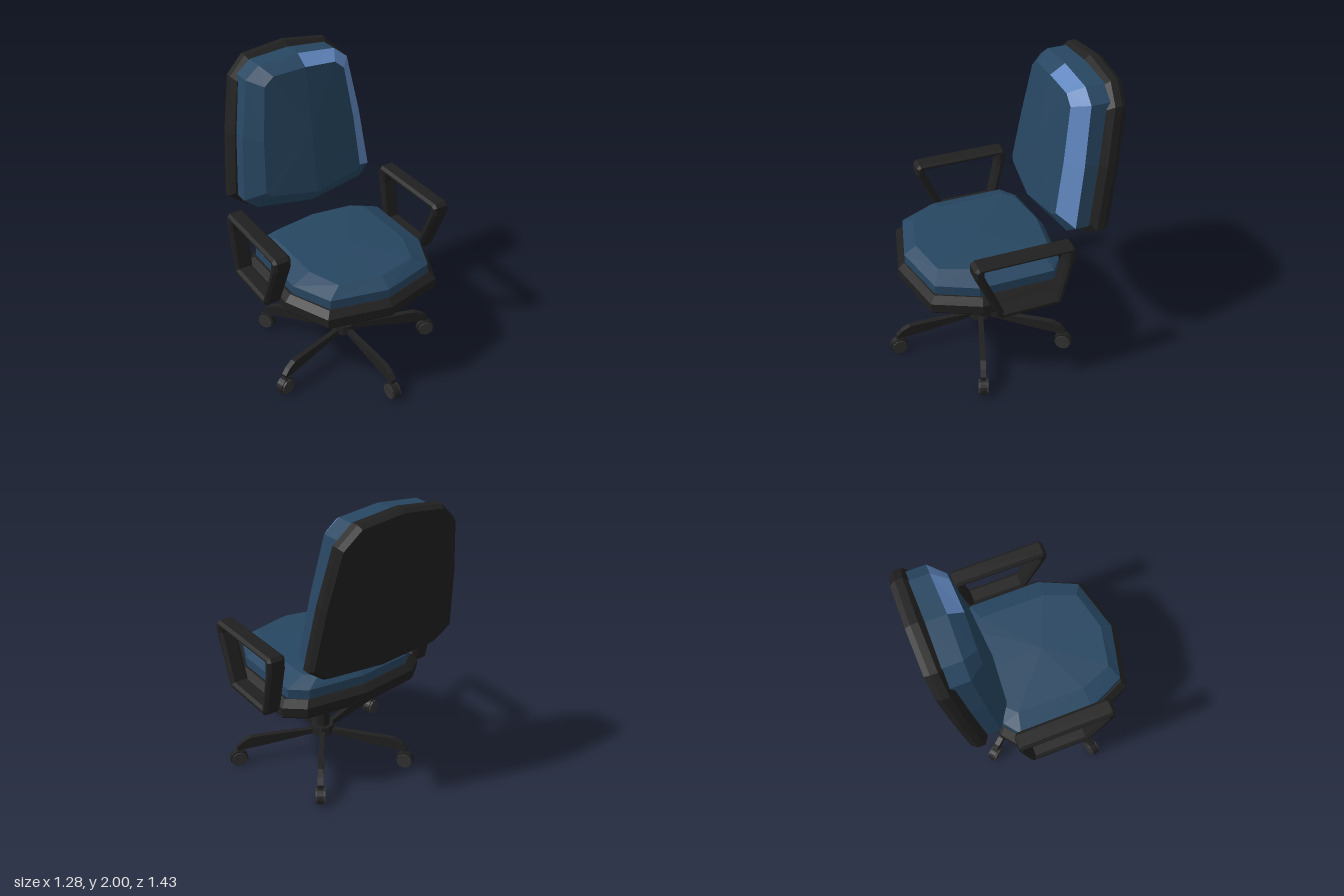
import * as THREE from 'three';

const mat = (name, color) => {
  const m = new THREE.MeshStandardMaterial({ color });
  m.name = name;
  return m;
};

// Faceted normals for low-poly parts
function facet(geo) {
  const g = geo.index ? geo.toNonIndexed() : geo;
  g.computeVertexNormals();
  return g;
}

function add(parent, name, geo, material) {
  const m = new THREE.Mesh(facet(geo), material);
  m.name = name;
  parent.add(m);
  return m;
}

// Half outline (x >= 0, first and last points on x = 0) to a full loop
const mirror = (half) => [...half, ...half.slice(1, -1).reverse().map(([x, v]) => [-x, v])];

// Skin over rings of Vector3, closed by fans to the two end points.
// pick(ring, segment) returns a material index for each side facet.
function loft(rings, start, end, pick = () => 0) {
  const buckets = [[], []];
  const n = rings[0].length;
  for (let i = 0; i < n; i++) {
    const j = (i + 1) % n, last = rings[rings.length - 1];
    buckets[0].push([start, rings[0][j], rings[0][i]], [end, last[i], last[j]]);
    for (let r = 0; r < rings.length - 1; r++) {
      const a = rings[r][i], b = rings[r][j], c = rings[r + 1][j], d = rings[r + 1][i];
      buckets[pick(r, i)].push([a, b, c], [a, c, d]);
    }
  }
  // Turn the skin outwards if its signed volume is negative
  let volume = 0;
  const cross = new THREE.Vector3();
  buckets.flat().forEach(([a, b, c]) => { volume += a.dot(cross.crossVectors(b, c)); });
  const geo = new THREE.BufferGeometry();
  const points = [];
  buckets.forEach((tris, k) => {
    if (tris.length) geo.addGroup(points.length, tris.length * 3, k);
    tris.forEach(([a, b, c]) => points.push(a, ...(volume < 0 ? [c, b] : [b, c])));
  });
  return geo.setFromPoints(points);
}

export function createModel() {
  const black = mat('black plastic', 0x202020);
  const grey = mat('wheel grey', 0x323232);
  const blue = mat('blue fabric', 0x274661);
  const sheen = mat('light blue fabric', 0x5f85bd);

  const chair = new THREE.Group();
  chair.name = 'officeChair';
  const V = (x, y, z) => new THREE.Vector3(x, y, z);

  // Seat: horizontal outlines stacked in y
  const flat = (half, y, s = 1) => mirror(half).map(([x, z]) => V(x * s, y, 0.1 + (z - 0.1) * s));
  const trayLine = [[0, 0.625], [0.4, 0.53], [0.53, 0.24], [0.53, -0.27], [0.41, -0.365], [0, -0.42]];
  add(chair, 'seatTray', loft(
    [flat(trayLine, 0.635, 0.98), flat(trayLine, 0.65), flat(trayLine, 0.71), flat(trayLine, 0.75, 0.925)],
    V(0, 0.635, 0.1), V(0, 0.75, 0.1)), black);

  const seatLine = [[0, 0.58], [0.36, 0.49], [0.475, 0.24], [0.475, -0.25], [0.37, -0.33], [0, -0.375]];
  const seatTop = [[0, 0.5], [0.27, 0.44], [0.35, 0.23], [0.35, -0.22], [0.28, -0.29], [0, -0.33]];
  add(chair, 'seatCushion', loft(
    [flat(seatLine, 0.74), flat(seatLine, 0.812), flat(seatTop, 0.865)],
    V(0, 0.74, 0.1), V(0, 0.882, 0.08)), blue);

  // Backrest: upright outlines stacked in depth, leaning backwards
  const lean = (x, y, d, bulge = 0) => V(x, y, d - 0.15 * (y - 1) - bulge * x * x);
  const upright = (half, d, s = 1, bulge = 0) =>
    mirror(half).map(([x, y]) => lean(x * s, 1.48 + (y - 1.48) * s, d, bulge));
  const shellLine = [[0, 2], [0.29, 1.965], [0.405, 1.855], [0.475, 1.5], [0.525, 1.09], [0.41, 1.0], [0, 0.96]];
  add(chair, 'backShell', loft(
    [upright(shellLine, -0.45, 0.93), upright(shellLine, -0.485), upright(shellLine, -0.53), upright(shellLine, -0.565, 0.96)],
    lean(0, 1.48, -0.45), lean(0, 1.48, -0.567)), black);

  const padLine = [[0, 1.97], [0.27, 1.945], [0.365, 1.87], [0.43, 1.5], [0.475, 1.1], [0.39, 1.035], [0, 0.985]];
  const padFront = [[0, 1.91], [0.22, 1.895], [0.285, 1.84], [0.33, 1.5], [0.355, 1.16], [0.32, 1.13], [0, 1.08]];
  // The bevel along the top and one side carries the lighter fabric
  add(chair, 'backCushion', loft(
    [upright(padFront, -0.245, 1, 0.2), upright(padLine, -0.33, 1, 0.15), upright(padLine, -0.47)],
    lean(0, 1.5, -0.238), lean(0, 1.5, -0.47),
    (r, i) => (r === 0 && i < 4 ? 1 : 0)), [blue, sheen]);

  // Armrests: closed loops with bevelled edges
  const loop = new THREE.Shape([[0.325, 1.075], [0.3, 1.097], [-0.295, 1.097], [-0.315, 1.075], [-0.315, 1.0],
    [-0.245, 0.69], [-0.225, 0.67], [0.155, 0.67], [0.18, 0.69], [0.325, 1.02]].map((p) => new THREE.Vector2(...p)));
  loop.holes.push(new THREE.Path([[0.265, 1.055], [0.265, 1.02], [0.14, 0.722], [-0.205, 0.722],
    [-0.258, 0.98], [-0.258, 1.055]].map((p) => new THREE.Vector2(...p))));
  for (const side of [1, -1]) {
    const arm = new THREE.ExtrudeGeometry(loop, {
      depth: 0.08, bevelEnabled: true, bevelThickness: 0.018, bevelSize: 0.016, bevelOffset: -0.016, bevelSegments: 1,
    });
    arm.translate(0, 0, -0.04).rotateY(-Math.PI / 2).translate(side * 0.58, 0, 0);
    add(chair, side > 0 ? 'leftArmrest' : 'rightArmrest', arm, black);
  }

  // Column and five-legged base
  const base = new THREE.Group();
  base.name = 'swivelBase';
  base.position.z = 0.07;
  chair.add(base);
  add(base, 'column', new THREE.CylinderGeometry(0.05, 0.05, 0.46, 8).rotateY(Math.PI / 8), black).position.y = 0.42;
  add(base, 'hub', new THREE.CylinderGeometry(0.075, 0.085, 0.06, 10), black).position.y = 0.188;

  const legSide = new THREE.Shape([[0.04, 0.16], [0.4, 0.132], [0.6, 0.122], [0.6, 0.145], [0.565, 0.18],
    [0.51, 0.206], [0.44, 0.207], [0.04, 0.19]].map((p) => new THREE.Vector2(...p)));
  for (let i = 0; i < 5; i++) {
    const leg = new THREE.Group();
    leg.name = 'leg' + (i + 1);
    leg.rotation.y = (i * Math.PI * 2) / 5;
    base.add(leg);
    const bar = new THREE.ExtrudeGeometry(legSide, { depth: 0.036, bevelEnabled: false });
    add(leg, 'legBar', bar.translate(0, 0, -0.018).rotateY(-Math.PI / 2), black);
    add(leg, 'casterStem', new THREE.CylinderGeometry(0.011, 0.011, 0.06, 6), black).position.set(0, 0.112, 0.588);
    // Caster: wheel pair with a half cover over the middle
    for (const s of [1, -1]) {
      add(leg, 'casterWheel', new THREE.CylinderGeometry(0.052, 0.052, 0.02, 10).rotateZ(Math.PI / 2), grey)
        .position.set(s * 0.022, 0.053, 0.59);
    }
    const hood = new THREE.Shape();
    hood.absarc(0, 0, 0.06, -0.3, Math.PI + 0.3, false);
    const cover = new THREE.ExtrudeGeometry(hood, { depth: 0.04, bevelEnabled: false, curveSegments: 6 });
    add(leg, 'casterCover', cover.translate(0, 0, -0.02).rotateY(-Math.PI / 2), black).position.set(0, 0.053, 0.59);
    add(leg, 'casterCore', new THREE.CylinderGeometry(0.053, 0.053, 0.026, 10).rotateZ(Math.PI / 2), black)
      .position.set(0, 0.053, 0.59);
  }
  return chair;
}
